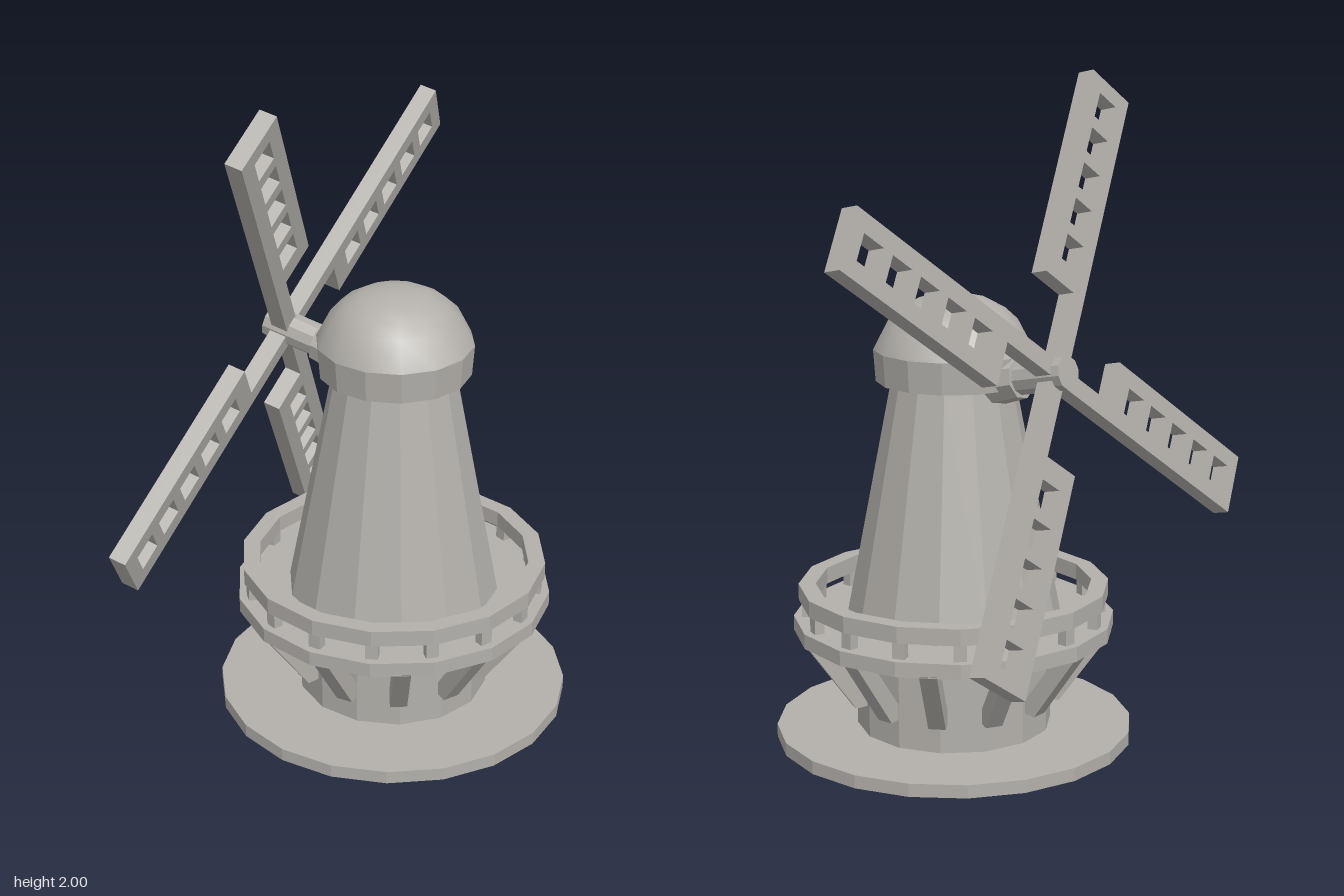
import * as THREE from 'three';
import { toCreasedNormals } from 'three/addons/utils/BufferGeometryUtils.js';

const stone = new THREE.MeshStandardMaterial({ color: 0xb3b0ab });
stone.name = 'warm grey';

function part(name, geometry, parent, crease = 0.3) {
  const mesh = new THREE.Mesh(toCreasedNormals(geometry, crease), stone);
  mesh.name = name;
  parent.add(mesh);
  return mesh;
}

// Faceted solid of revolution; profile is [radius, height] from bottom to top
function turned(name, profile, sides, startDeg, parent, crease) {
  const pts = profile.map(([r, y]) => new THREE.Vector2(r, y));
  const geo = new THREE.LatheGeometry(pts, sides, THREE.MathUtils.degToRad(startDeg));
  return part(name, geo, parent, crease);
}

const ring = (ri, ro, y0, y1) => [[ri, y0], [ro, y0], [ro, y1], [ri, y1], [ri, y0]];

function polygon(points, ShapeType = THREE.Shape) {
  return new ShapeType(points.map(([x, y]) => new THREE.Vector2(x, y)));
}

function centredExtrude(shape, depth) {
  return new THREE.ExtrudeGeometry(shape, { depth, bevelEnabled: false }).translate(0, 0, -depth / 2);
}

function createTower() {
  const tower = new THREE.Group();
  tower.name = 'tower';
  tower.position.set(0.063, 0, -0.095);

  turned('basePlate', [[0, 0], [0.542, 0], [0.542, 0.04], [0, 0.04]], 20, 4, tower);
  turned('lowerWall', [[0.296, 0.04], [0.296, 0.34]], 14, 20.4, tower);
  turned('upperWall', [[0.327, 0.37], [0.185, 1.105]], 14, 20.4, tower);
  turned('capCollar', [[0.17, 1.105], [0.23, 1.105], [0.237, 1.2]], 14, 20.4, tower);
  turned('capDome', [[0.237, 1.2], [0.193, 1.285], [0.155, 1.32], [0.105, 1.347], [0.05, 1.358], [0, 1.361]],
    14, 20.4, tower, 0.7);

  // Gallery with its railing
  turned('galleryDeck', ring(0.28, 0.486, 0.335, 0.38), 16, 11.25, tower);
  turned('handrail', ring(0.418, 0.47, 0.43, 0.48), 16, 11.25, tower);
  for (let i = 0; i < 16; i++) {
    const post = part('railPost', new THREE.BoxGeometry(0.038, 0.06, 0.03).translate(0, 0.405, 0.445), tower);
    post.rotation.y = (i + 0.5) * Math.PI / 8;
  }

  // Slanting struts under the gallery
  const strut = centredExtrude(
    polygon([[0.28, 0.13], [0.325, 0.125], [0.478, 0.34], [0.415, 0.34], [0.28, 0.155]]), 0.052);
  for (let i = 0; i < 12; i++) {
    part('galleryStrut', strut, tower).rotation.y = (i + 0.5) * Math.PI / 6;
  }
  return tower;
}

function createSails() {
  const sails = new THREE.Group();
  sails.name = 'sails';
  // Local z is the shaft axis, local x runs along the first sail
  const axis = new THREE.Vector3(-0.94, 0.212, 0.265).normalize();
  const first = new THREE.Vector3(0.325, 0.798, 0.512).projectOnPlane(axis).normalize();
  const second = new THREE.Vector3().crossVectors(axis, first);
  sails.quaternion.setFromRotationMatrix(new THREE.Matrix4().makeBasis(first, second, axis));
  sails.position.set(-0.295, 1.167, 0);

  // Spar and lattice panel in one outline
  const outline = polygon([[0, -0.03], [0.93, -0.03], [0.93, 0.16], [0.25, 0.16], [0.25, 0.024], [0, 0.024]]);
  for (let i = 0; i < 5; i++) {
    const x = 0.36 + i * 0.12, y = 0.066, h = 0.041;
    outline.holes.push(polygon([[x - h, y - h], [x - h, y + h], [x + h, y + h], [x + h, y - h]], THREE.Path));
  }
  const sail = centredExtrude(outline, 0.054);
  for (let i = 0; i < 4; i++) {
    part('sail', sail, sails).rotation.z = i * Math.PI / 2;
  }

  // Shaft and its flared bearing at the cap
  const shaft = new THREE.CylinderGeometry(0.05, 0.05, 0.36, 10).rotateX(Math.PI / 2).translate(0, 0, -0.125);
  part('shaft', shaft, sails);
  const bearing = new THREE.CylinderGeometry(0.062, 0.08, 0.15, 8).rotateX(Math.PI / 2).translate(0, 0, -0.19);
  part('shaftBearing', bearing, sails);
  return sails;
}

export function createModel() {
  const model = new THREE.Group();
  model.name = 'windmill';
  model.add(createTower(), createSails());
  return model;
}
